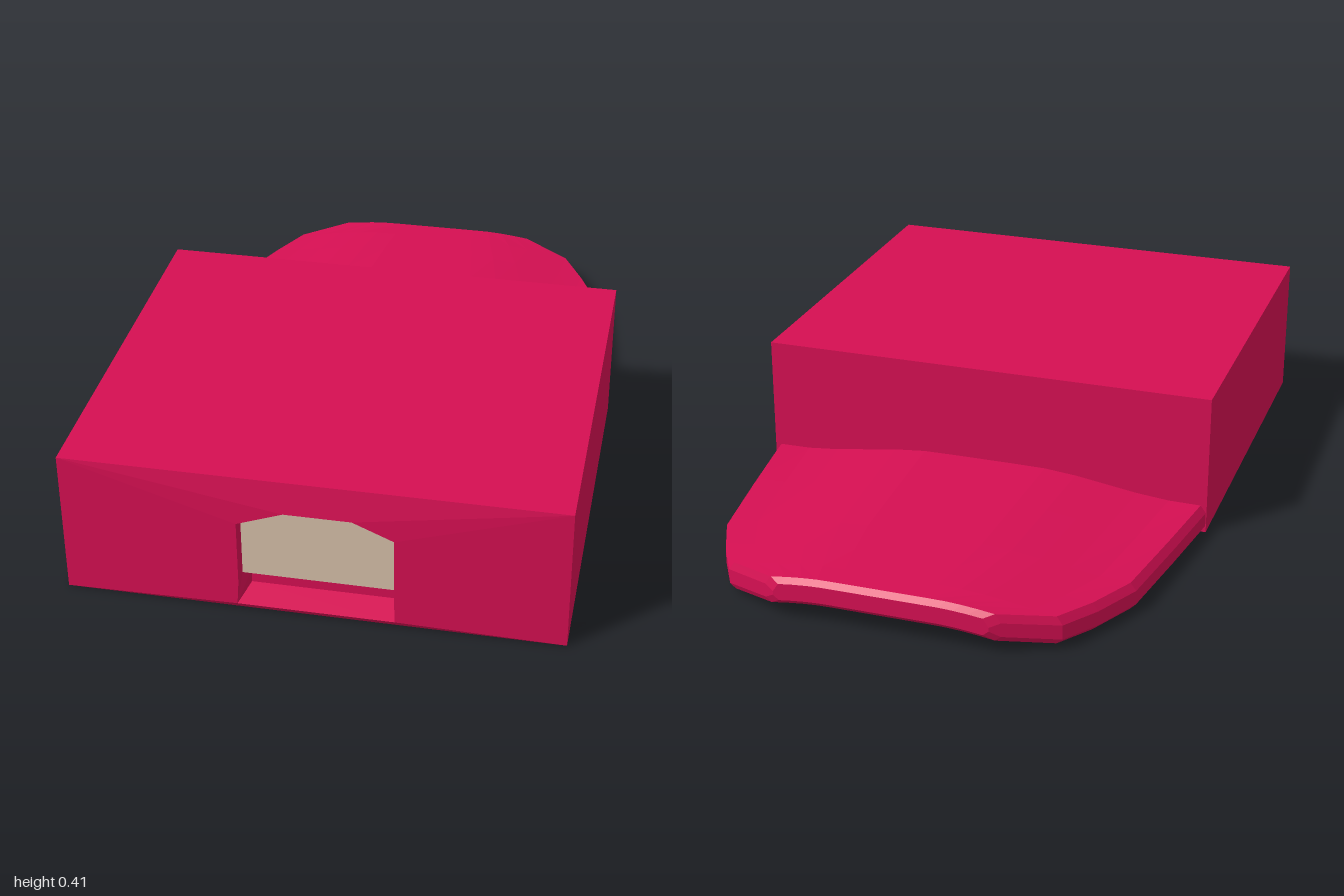
import * as THREE from 'three';

const red = new THREE.MeshStandardMaterial({ color: 0xd50f52, flatShading: true, side: THREE.DoubleSide });
const beige = new THREE.MeshStandardMaterial({ color: 0xd6c0a9, flatShading: true, side: THREE.DoubleSide });

const at = (points, z) => points.map(([x, y]) => new THREE.Vector3(x, y, z));

function meshOf(name, positions, material) {
  const geometry = new THREE.BufferGeometry();
  geometry.setAttribute('position', new THREE.Float32BufferAttribute(positions.flatMap(p => [p.x, p.y, p.z]), 3));
  geometry.computeVertexNormals();
  const mesh = new THREE.Mesh(geometry, material);
  mesh.name = name;
  return mesh;
}

// Skin between loops that run counter-clockwise (seen from +z) and step toward -z
function skin(loops) {
  const out = [];
  for (let k = 0; k + 1 < loops.length; k++) {
    const A = loops[k], B = loops[k + 1];
    A.forEach((a, i) => {
      const j = (i + 1) % A.length;
      out.push(a, B[i], A[j], A[j], B[i], B[j]);
    });
  }
  return out;
}

// Flat cap over a loop, facing +z or (back) -z, with optional holes
function cap(loop, back = false, holes = []) {
  const flat = l => l.map(p => new THREE.Vector2(p.x, p.y));
  const all = [loop, ...holes].flat();
  return THREE.ShapeUtils.triangulateShape(flat(loop), holes.map(flat))
    .flatMap(([a, b, c]) => (back ? [all[a], all[c], all[b]] : [all[a], all[b], all[c]]));
}

// One cross-section of the arched tongue: flat underside, bevelled rim, domed top
function tongueSection(z, w, trim = 0) {
  const N = 14, inset = 0.016;
  const lift = Math.max(0, (-z - 0.3) / 0.7);
  const arch = x => THREE.MathUtils.smoothstep(0.6 - Math.abs(x), 0, 0.45);
  const bottom = x => 0.004 + 0.05 * arch(x) * lift + trim;
  const top = x => 0.083 + 0.047 * arch(x) - trim;
  const low = [], high = [];
  for (let i = 0; i <= N; i++) {
    const x = (w - inset) * (2 * i / N - 1);
    low.push([x, bottom(x)]);
    high.unshift([x, top(x)]);
  }
  const y0 = bottom(w) + 0.016, y1 = top(w) - 0.022;
  return at([...low, [w, y0], [w, y1], ...high, [-w, y1], [-w, y0]], z);
}

export function createModel() {
  const group = new THREE.Group();

  // Box body: four sides and back wall
  const rect = [[-0.672, 0], [0.672, 0], [0.672, 0.415], [-0.672, 0.415]];
  const frontRim = at(rect, 0.985), backRim = at(rect, -0.16);
  group.add(meshOf('body', [...skin([frontRim, backRim]), ...cap(backRim, true)], red));

  // Slightly bulging front wall around the window
  const opening = at([[-0.2, 0.02], [0.222, 0.02], [0.22, 0.09], [0.22, 0.28],
    [0.11, 0.327], [-0.07, 0.327], [-0.195, 0.28], [-0.195, 0.09]], 1);
  group.add(meshOf('frontWall', cap(frontRim, false, [[...opening].reverse()]), red));

  // Shallow window reveal, meeting the opening again at the sill
  const panelLoop = at([[0.22, 0.09], [0.22, 0.265], [0.11, 0.31],
    [-0.07, 0.31], [-0.195, 0.265], [-0.195, 0.09]], 0.955);
  group.add(meshOf('windowReveal', skin([opening, [opening[0], opening[1], ...panelLoop]]), red));
  group.add(meshOf('windowPanel', cap(panelLoop), beige));

  // Deeper slot under the panel
  const slotBack = at([[-0.18, 0.035], [0.205, 0.035], [0.205, 0.076], [-0.18, 0.076]], 0.92);
  const slotFront = [opening[0], opening[1], panelLoop[0], panelLoop[5]];
  group.add(meshOf('lowerSlot', [...skin([slotFront, slotBack]), ...cap(slotBack)], red));

  // Rounded tongue behind the body
  const sections = [[-0.16, 0.67], [-0.4, 0.637], [-0.66, 0.598], [-0.8, 0.534],
    [-0.91, 0.47], [-0.985, 0.328], [-1, 0.3, 0.014]].map(s => tongueSection(...s));
  group.add(meshOf('tongue', [...skin(sections), ...cap(sections.at(-1), true)], red));

  return group;
}
